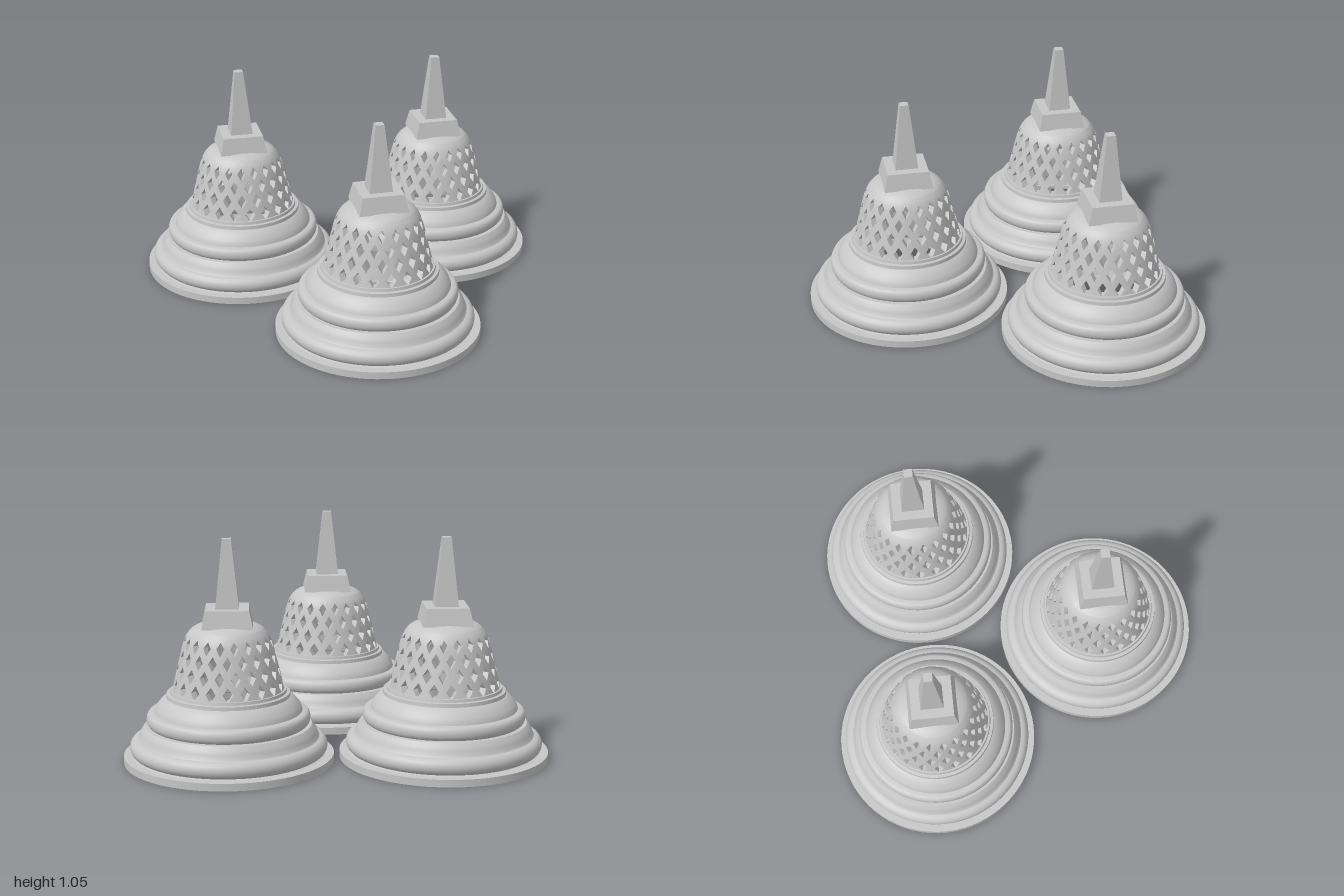
import * as THREE from 'three';
import { toCreasedNormals } from 'three/addons/utils/BufferGeometryUtils.js';

const COLS = 20;                                         // lattice openings per row
const ROWS = [0.305, 0.373, 0.44, 0.508, 0.575, 0.63];   // heights of the lattice lines
const WALL = 0.034;
const V = (x, y) => new THREE.Vector2(x, y);

// radius of the bell at a height
const bellRadius = y =>
  (0.262 - 0.24 * (y - 0.34)) * Math.pow(Math.max(0, 1 - Math.pow(Math.max(0, (y - 0.34) / 0.32), 10)), 0.3);

// half-round moulding, bottom to top
function moulding(cx, cy, rx, ry) {
  const pts = [];
  for (let i = 0; i <= 10; i++) {
    const a = -Math.PI / 2 + Math.PI * i / 10;
    pts.push(V(cx + rx * Math.cos(a), cy + ry * Math.sin(a)));
  }
  return pts;
}

// stepped hollow base, outer side upwards and inner side downwards
function baseGeometry() {
  const profile = [
    V(0.493, 0), V(0.493, 0.035),
    ...moulding(0.425, 0.075, 0.038, 0.04),
    V(0.419, 0.122), V(0.414, 0.14), V(0.405, 0.158), V(0.39, 0.176),
    ...moulding(0.363, 0.208, 0.02, 0.032),
    V(0.346, 0.242), V(0.342, 0.256), V(0.334, 0.27), V(0.318, 0.29), V(0.3, 0.306),
    V(0.29, 0.311), V(0.288, 0.328), V(0.273, 0.33), V(0.27, 0.344), V(0.225, 0.345),
    V(0.225, 0.3), V(0.268, 0.295), V(0.278, 0.25), V(0.312, 0.24), V(0.325, 0.18),
    V(0.36, 0.174), V(0.372, 0.12), V(0.408, 0.114), V(0.425, 0.08), V(0.415, 0.045),
    V(0.453, 0.035), V(0.453, 0), V(0.493, 0),
  ];
  return toCreasedNormals(new THREE.LatheGeometry(profile, 72), 0.5);
}

// perforated wall made of diamond cells, each with a diamond hole
function latticeGeometry() {
  const pos = [];
  const half = Math.PI / COLS, N = 4;
  const point = ([a, y], depth) => {
    const r = bellRadius(y) - depth;
    return [r * Math.sin(a), y, r * Math.cos(a)];
  };
  const mix = (p, q, t) => [p[0] + (q[0] - p[0]) * t, p[1] + (q[1] - p[1]) * t];
  const tri = (a, b, c) => pos.push(...a, ...b, ...c);
  const quad = (a, b, c, d) => { tri(a, b, c); tri(a, c, d); };

  // curved patch on both faces of the wall, a-b below d-c
  const patch = (a, b, c, d) => {
    const at = (u, v) => mix(mix(a, b, u), mix(d, c, u), v);
    for (let i = 0; i < N; i++) for (let j = 0; j < N; j++) {
      const q = [at(i / N, j / N), at((i + 1) / N, j / N), at((i + 1) / N, (j + 1) / N), at(i / N, (j + 1) / N)];
      quad(...q.map(p => point(p, 0)));
      quad(...q.reverse().map(p => point(p, WALL)));
    }
  };

  for (let row = 0; row < 4; row++) for (let col = 0; col < COLS; col++) {
    const a = (2 * col + row % 2) * half;
    const centre = [a, ROWS[row + 1]];
    const outer = [[a, ROWS[row]], [a + half, centre[1]], [a, ROWS[row + 2]], [a - half, centre[1]]];
    const hole = outer.map((p, i) => mix(centre, p, i % 2 ? 0.6 : 0.5));
    for (let i = 0; i < 4; i++) {
      const k = (i + 1) % 4;
      patch(outer[i], outer[k], hole[k], hole[i]);
      // thickness of the opening
      for (let s = 0; s < N; s++) {
        const p = mix(hole[i], hole[k], s / N), q = mix(hole[i], hole[k], (s + 1) / N);
        quad(point(p, 0), point(q, 0), point(q, WALL), point(p, WALL));
      }
    }
    // triangles closing the lower and upper borders
    if (row === 0) {
      const tip = [a + half, ROWS[1]];
      patch([a, ROWS[0]], [a + 2 * half, ROWS[0]], tip, tip);
    }
    if (row === 3) {
      const tip = [a + half, ROWS[4]];
      patch(tip, tip, [a + 2 * half, ROWS[5]], [a, ROWS[5]]);
    }
  }
  const g = new THREE.BufferGeometry();
  g.setAttribute('position', new THREE.Float32BufferAttribute(pos, 3));
  return toCreasedNormals(g, 0.6);
}

// rounded shoulder closing the bell
function capGeometry() {
  const profile = [];
  for (let i = 0; i <= 10; i++) {
    const y = 0.66 - 0.03 * Math.pow(1 - i / 10, 2);
    profile.push(V(bellRadius(y), y));
  }
  profile.push(V(0, 0.645), V(0.11, 0.642), V(bellRadius(0.63) - WALL, 0.63));
  return toCreasedNormals(new THREE.LatheGeometry(profile, 80), 0.6);
}

// square tapered block
function taperedBlock(bottom, top, y0, y1) {
  const g = new THREE.CylinderGeometry(top * Math.SQRT2, bottom * Math.SQRT2, y1 - y0, 4);
  g.rotateY(Math.PI / 4).translate(0, (y0 + y1) / 2, 0);
  return toCreasedNormals(g, 0.3);
}

export function createModel() {
  const stone = new THREE.MeshStandardMaterial({ color: 0xc6c6c6, side: THREE.DoubleSide });
  stone.name = 'grey stone';

  const parts = {
    steppedBase: baseGeometry(),
    latticeBell: latticeGeometry(),
    bellShoulder: capGeometry(),
    squarePlinth: taperedBlock(0.118, 0.1, 0.647, 0.73),
    spire: taperedBlock(0.055, 0.021, 0.73, 1.05),
  };

  const model = new THREE.Group();
  model.name = 'stupas';
  const places = { frontStupa: [0, 0.437], backLeftStupa: [0.507, -0.437], backRightStupa: [-0.507, -0.437] };
  for (const [name, [x, z]] of Object.entries(places)) {
    const stupa = new THREE.Group();
    stupa.name = name;
    for (const [part, geometry] of Object.entries(parts)) {
      const mesh = new THREE.Mesh(geometry, stone);
      mesh.name = part;
      stupa.add(mesh);
    }
    stupa.position.set(x, 0, z);
    model.add(stupa);
  }
  return model;
}
